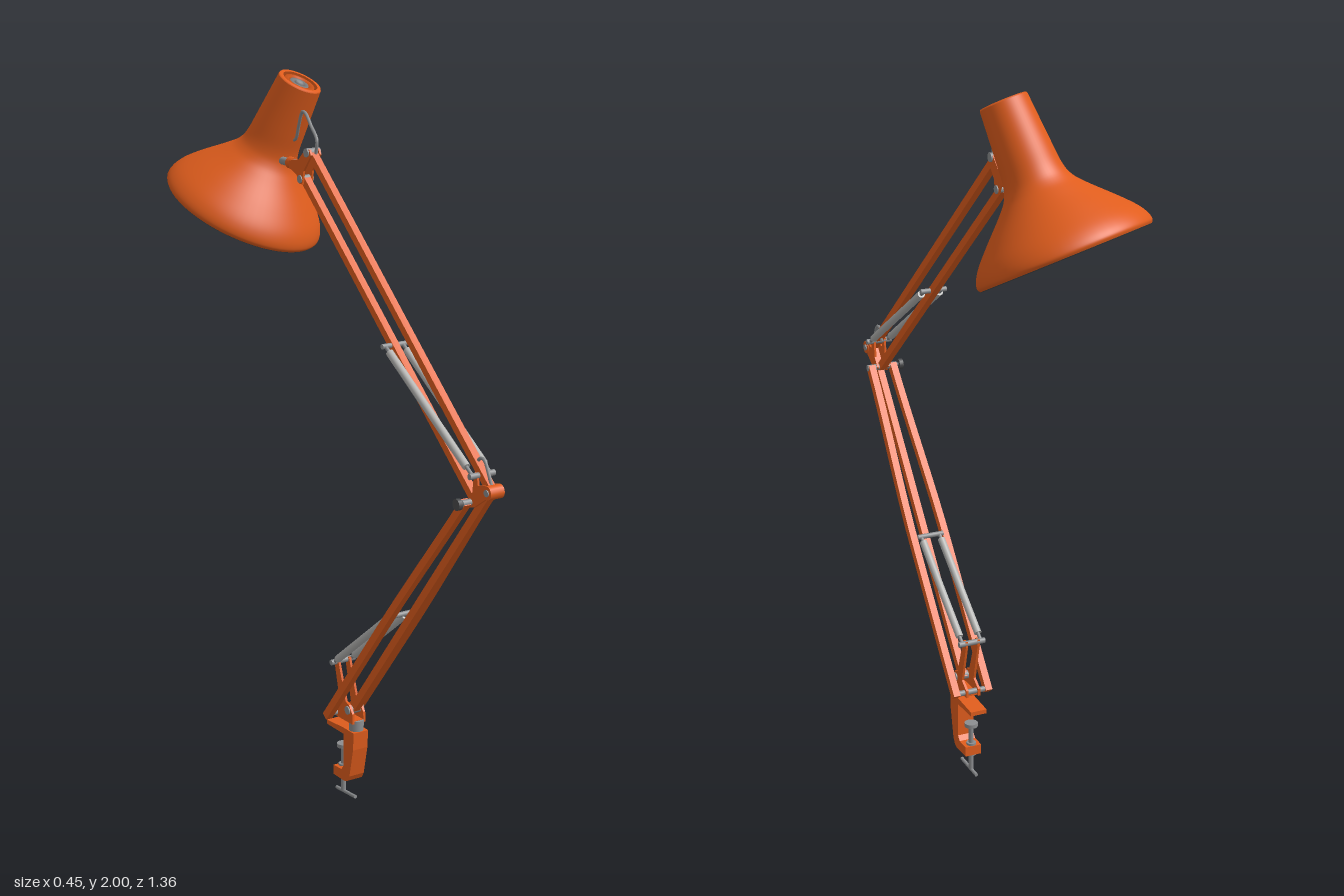
import * as THREE from 'three';

const material = (name, color) => {
  const m = new THREE.MeshStandardMaterial({ color });
  m.name = name;
  return m;
};
const V = (x, y, z) => new THREE.Vector3(x, y, z);
const CX = 0.037; // plane in which the arm folds

export function createModel() {
  const orange = material('orange paint', 0xe05d1d);
  const metal = material('grey metal', 0x8c8e90);
  const dark = material('dark metal', 0x4a4b4d);
  const silver = material('silver lining', 0xb4b4b2);
  const glass = material('bulb glass', 0xd4d4d2);
  const model = new THREE.Group();
  model.name = 'deskLamp';

  const add = (name, geometry, mat, parent = model) => {
    const mesh = new THREE.Mesh(geometry, mat);
    mesh.name = name;
    parent.add(mesh);
    return mesh;
  };
  // Round rod between two points
  const rod = (name, a, b, r, mat) => {
    const mesh = add(name, new THREE.CylinderGeometry(r, r, a.distanceTo(b), 16), mat);
    mesh.position.copy(a).lerp(b, 0.5);
    mesh.quaternion.setFromUnitVectors(V(0, 1, 0), b.clone().sub(a).normalize());
    return mesh;
  };
  // Pin running across the arm
  const pin = (name, y, z, length, r, mat) =>
    rod(name, V(CX - length / 2, y, z), V(CX + length / 2, y, z), r, mat);
  // Square bar; bend(t) gives a sideways shift along its length
  const bar = (name, a, b, width, height, bend) => {
    const length = a.distanceTo(b);
    const g = new THREE.BoxGeometry(width, height, length, 1, 1, bend ? 14 : 1);
    g.lookAt(b.clone().sub(a));
    const mid = a.clone().lerp(b, 0.5);
    g.translate(mid.x, mid.y, mid.z);
    if (bend) {
      const p = g.attributes.position;
      for (let i = 0; i < p.count; i++) {
        const t = THREE.MathUtils.clamp((p.getY(i) - a.y) / (b.y - a.y), 0, 1);
        p.setX(i, p.getX(i) + bend(t));
      }
      g.computeVertexNormals();
    }
    return add(name, g, orange);
  };
  // Flat plate outlined by [z, y] corners and extruded across x
  const plate = (name, corners, width, x = CX) => {
    const shape = new THREE.Shape(corners.map(([z, y]) => new THREE.Vector2(-z, y)));
    const g = new THREE.ExtrudeGeometry(shape, { depth: width, bevelEnabled: false });
    g.translate(0, 0, -width / 2).rotateY(Math.PI / 2).translate(x, 0, 0);
    return add(name, g, orange);
  };
  const cable = (name, points) =>
    add(name, new THREE.TubeGeometry(new THREE.CatmullRomCurve3(points), 36, 0.0045, 8), metal);

  // Table clamp
  plate('clampBody', [[0.073, 0.222], [0.07, 0.17], [0.052, 0.085], [0.042, 0.068], [0.028, 0.062],
    [-0.03, 0.062], [-0.03, 0.09], [0.01, 0.092], [0.021, 0.105], [0.022, 0.203], [-0.065, 0.203],
    [-0.065, 0.215], [0.02, 0.222]], 0.048);
  rod('clampScrew', V(CX, 0.012, -0.015), V(CX, 0.15, -0.015), 0.007, metal);
  rod('clampPad', V(CX, 0.146, -0.015), V(CX, 0.157, -0.015), 0.019, metal);
  rod('screwNut', V(CX, 0.058, -0.015), V(CX, 0.096, -0.015), 0.014, metal);
  rod('clampHandle', V(CX, 0.015, 0.047), V(CX, 0.008, -0.05), 0.005, metal);
  rod('swivelCollar', V(CX, 0.22, 0.05), V(CX, 0.252, 0.05), 0.021, metal);

  // Base bracket holding the lower arm and its springs
  for (const s of [-1, 1]) {
    plate('baseBracketSide', [[0.064, 0.245], [0.062, 0.275], [0.045, 0.297], [0.028, 0.302],
      [-0.01, 0.412], [-0.027, 0.412], [-0.027, 0.395], [0.0, 0.285], [-0.03, 0.264], [-0.03, 0.243]],
      0.007, CX + s * 0.018);
  }
  plate('baseBracketFloor', [[0.062, 0.245], [0.062, 0.253], [-0.022, 0.251], [-0.022, 0.243]], 0.034);
  pin('lowerFrontPivot', 0.28, 0.04, 0.05, 0.012, metal);
  pin('lowerBackPivot', 0.255, -0.018, 0.116, 0.008, metal);

  // Lower arm: one front bar and two bowed side bars
  bar('lowerFrontBar', V(CX, 0.275, 0.036), V(CX, 1.07, 0.65), 0.02, 0.022);
  for (const s of [-1, 1]) {
    bar('lowerSideBar', V(CX, 0.248, -0.022), V(CX, 1.035, 0.592), 0.02, 0.022,
      t => s * (0.049 - 0.016 * THREE.MathUtils.smoothstep(t, 0.45, 1.05)));
  }

  // Elbow
  for (const s of [-1, 1]) {
    plate('elbowPlate', [[0.672, 1.062], [0.672, 1.082], [0.655, 1.09], [0.62, 1.082], [0.614, 1.112],
      [0.603, 1.112], [0.598, 1.06], [0.578, 1.034], [0.59, 1.018], [0.606, 1.022], [0.655, 1.056]],
      0.006, CX + s * 0.016);
  }
  pin('elbowFrontPivot', 1.073, 0.66, 0.042, 0.018, orange);
  pin('elbowFrontBolt', 1.073, 0.66, 0.048, 0.009, metal);
  pin('elbowBackPivot', 1.032, 0.59, 0.09, 0.009, metal);
  rod('elbowKnobStem', V(-0.014, 1.032, 0.59), V(0.01, 1.032, 0.59), 0.006, dark);
  rod('elbowKnob', V(-0.026, 1.032, 0.59), V(-0.014, 1.032, 0.59), 0.015, dark);
  cable('elbowCable', [V(CX, 1.075, 0.655), V(CX, 1.115, 0.638), V(CX, 1.146, 0.618),
    V(CX, 1.142, 0.598), V(CX, 1.11, 0.59)]);

  // Upper arm
  bar('upperTopBar', V(CX, 1.073, 0.655), V(CX, 1.802, -0.175), 0.02, 0.021);
  bar('upperBottomBar', V(CX, 1.03, 0.592), V(CX, 1.728, -0.208), 0.02, 0.021);

  // Spring pairs: thin rod at the lower end, sleeve for the rest, cross pins at both ends
  const springs = (name, y0, z0, y1, z1, offset) => {
    for (const s of [-1, 1]) {
      const a = V(CX + s * offset, y0, z0), b = V(CX + s * offset, y1, z1);
      rod(name + 'Rod', a, b, 0.005, metal);
      rod(name + 'Sleeve', a.clone().lerp(b, 0.07), a.clone().lerp(b, 0.95), 0.0105, silver);
    }
    pin(name + 'LowerPin', y0, z0, offset * 2 + 0.022, 0.008, metal);
    pin(name + 'UpperPin', y1, z1, offset * 2 + 0.022, 0.007, metal);
  };
  springs('lowerSpring', 0.405, -0.02, 0.625, 0.255, 0.028);
  springs('upperSpring', 1.105, 0.61, 1.355, 0.222, 0.027);

  // Head bracket and joint to the shade
  for (const s of [-1, 1]) {
    plate('headBracketSide', [[-0.152, 1.797], [-0.16, 1.812], [-0.18, 1.81], [-0.215, 1.778],
      [-0.262, 1.77], [-0.262, 1.75], [-0.225, 1.737], [-0.212, 1.714], [-0.196, 1.714], [-0.19, 1.75]],
      0.006, CX + s * 0.014);
  }
  pin('headTopPivot', 1.802, -0.172, 0.042, 0.012, metal);
  pin('headBottomPivot', 1.727, -0.206, 0.04, 0.011, metal);
  rod('headJoint', V(CX, 1.76, -0.235), V(CX, 1.76, -0.35), 0.011, metal);
  rod('headJointCollar', V(CX, 1.76, -0.262), V(CX, 1.76, -0.285), 0.016, orange);
  cable('headCable', [V(CX, 1.8, -0.153), V(CX, 1.838, -0.149), V(0.043, 1.868, -0.185),
    V(0.05, 1.898, -0.225), V(0.055, 1.899, -0.25), V(0.06, 1.862, -0.275), V(0.065, 1.82, -0.3),
    V(0.066, 1.812, -0.33)]);

  // Shade: local y runs from the rim centre up to the cap
  const shade = new THREE.Group();
  shade.name = 'shade';
  shade.position.set(-0.002, 1.61, -0.475);
  shade.quaternion.setFromUnitVectors(V(0, 1, 0), V(0.094, 0.363, 0.157).normalize());
  model.add(shade);
  const lathe = (name, points, mat, smooth = 0) => {
    let pts = points.map(([r, y]) => new THREE.Vector2(r, y));
    if (smooth) pts = new THREE.SplineCurve(pts).getPoints(smooth);
    return add(name, new THREE.LatheGeometry(pts, 56), mat, shade);
  };
  lathe('shadeShell', [[0.224, 0], [0.229, 0.01], [0.223, 0.03], [0.206, 0.056], [0.172, 0.093],
    [0.118, 0.147], [0.09, 0.18], [0.077, 0.215], [0.071, 0.28], [0.062, 0.402]], orange, 48);
  lathe('shadeLining', [[0.0, 0.225], [0.06, 0.224], [0.071, 0.215], [0.086, 0.177], [0.113, 0.144],
    [0.167, 0.09], [0.201, 0.052], [0.218, 0.026], [0.221, 0.01], [0.219, 0.001]], silver, 48);
  lathe('shadeLip', [[0.219, 0.001], [0.2215, -0.002], [0.224, 0]], dark);

  // Vented cap: stepped rings around a central button
  lathe('capRim', [[0.062, 0.402], [0.06, 0.406], [0.05, 0.406]], orange);
  lathe('capWall', [[0.05, 0.406], [0.05, 0.385]], orange);
  lathe('capFloor', [[0.05, 0.386], [0, 0.386]], dark);
  lathe('capRing', [[0.043, 0.386], [0.043, 0.402], [0.032, 0.402], [0.032, 0.386]], orange);
  lathe('capInnerRing', [[0.027, 0.386], [0.027, 0.4], [0.018, 0.4], [0.018, 0.386]], metal);
  lathe('capButton', [[0.013, 0.386], [0.013, 0.4], [0.008, 0.404], [0, 0.404]], metal);

  // Bulb
  add('bulb', new THREE.SphereGeometry(0.056, 32, 20), glass, shade).position.y = 0.115;
  add('bulbSocket', new THREE.CylinderGeometry(0.03, 0.034, 0.08, 24), metal, shade).position.y = 0.19;

  return model;
}
